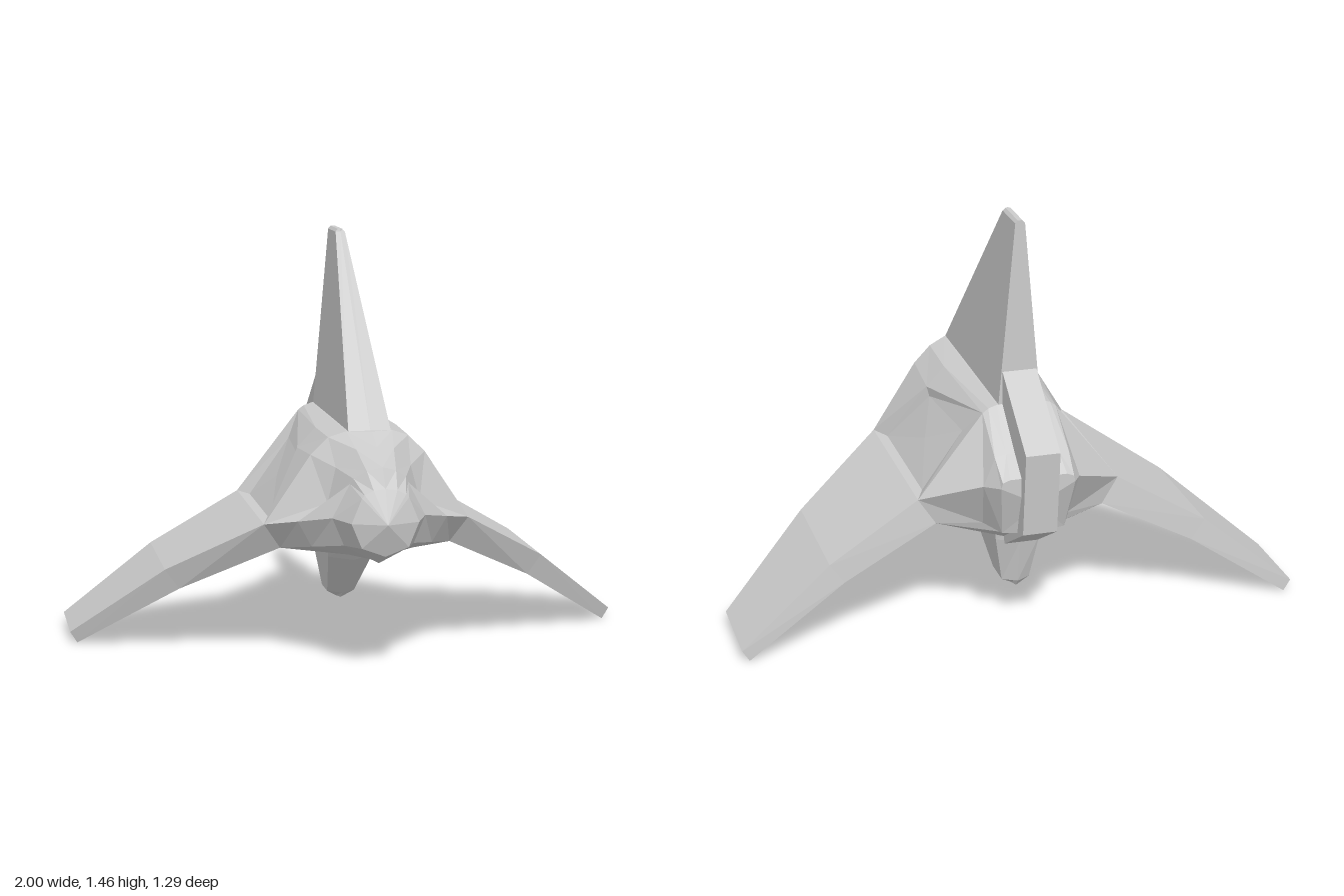
import * as THREE from 'three';

const material = new THREE.MeshStandardMaterial({ color: 0xcccccc, flatShading: true });

// Skin a list of [x, y, z] rows; closed rows wrap round, caps close the ends to their centres.
function loft(rows, { closed = false, capStart = false, capEnd = false } = {}) {
  const centre = row => {
    const c = [0, 1, 2].map(k => row.reduce((s, p) => s + p[k], 0) / row.length);
    return row.map(() => c);
  };
  const all = [...rows];
  if (capStart) all.unshift(centre(rows[0]));
  if (capEnd) all.push(centre(rows[rows.length - 1]));
  const out = [];
  const tri = (a, b, c) => {
    const [u, v, w] = [a, b, c].map(p => new THREE.Vector3(...p));
    if (new THREE.Triangle(u, v, w).getArea() > 1e-7) out.push(...a, ...b, ...c);
  };
  for (let i = 0; i < all.length - 1; i++) {
    const n = all[i].length;
    for (let j = 0; j < (closed ? n : n - 1); j++) {
      const k = (j + 1) % n;
      tri(all[i][j], all[i][k], all[i + 1][k]);
      tri(all[i][j], all[i + 1][k], all[i + 1][j]);
    }
  }
  const g = new THREE.BufferGeometry();
  g.setAttribute('position', new THREE.Float32BufferAttribute(out, 3));
  g.computeVertexNormals();
  return g;
}

// Mirror the triangles across x = 0, keeping the faces outward.
function mirror(geometry) {
  const p = geometry.attributes.position, out = [];
  for (let i = 0; i < p.count; i += 3)
    for (const k of [i, i + 2, i + 1]) out.push(-p.getX(k), p.getY(k), p.getZ(k));
  const g = new THREE.BufferGeometry();
  g.setAttribute('position', new THREE.Float32BufferAttribute(out, 3));
  g.computeVertexNormals();
  return g;
}

export function createModel() {
  const model = new THREE.Group();
  const add = (name, geometry) => {
    const mesh = new THREE.Mesh(geometry, material);
    mesh.name = name;
    model.add(mesh);
  };
  const addPair = (name, geometry) => {
    add('left' + name, geometry);
    add('right' + name, mirror(geometry));
  };

  // Corners of the hull side shared by several parts
  const frontCorner = [0.36, 0.49, 0.28], frontTop = [0.21, 0.72, 0.08];
  const rearTop = [0.13, 0.785, -0.37], rearCorner = [0.36, 0.49, -0.37];

  // Hull half-sections from the top centre round the side to the keel
  const nose = [
    Array(7).fill([0, 0.545, 0.645]),
    [[0, 0.66, 0.6], [0.04, 0.655, 0.6], [0.07, 0.64, 0.6], [0.08, 0.63, 0.6], [0.115, 0.545, 0.6], [0.08, 0.46, 0.6], [0, 0.43, 0.6]],
    [[0, 0.725, 0.55], [0.05, 0.71, 0.53], [0.09, 0.68, 0.5], [0.1, 0.66, 0.49], [0.16, 0.545, 0.49], [0.12, 0.45, 0.49], [0, 0.385, 0.49]],
    [[0, 0.775, 0.45], [0.065, 0.765, 0.42], [0.13, 0.7, 0.39], [0.16, 0.58, 0.4], [0.26, 0.517, 0.385], [0.21, 0.425, 0.37], [0, 0.368, 0.35]],
  ];
  const shoulder = [[0, 0.815, 0.36], [0.08, 0.812, 0.32], [0.14, 0.79, 0.3], [0.2, 0.73, 0.295], frontCorner, [0.3, 0.4, 0.25], [0, 0.35, 0.21]];
  const waist = [[0, 0.815, 0.08], [0.08, 0.812, 0.08], [0.145, 0.79, 0.08], frontTop, frontCorner, [0.3, 0.4, 0.25], [0, 0.31, 0]];
  const rear = [[0, 0.815, -0.37], [0.08, 0.81, -0.37], [0.11, 0.8, -0.37], rearTop, rearCorner, [0.3, 0.4, -0.38], [0, 0.305, -0.39]];

  // Stern half-sections, with a bevelled panel either side
  const sternEdge = [[0, 0.69, -0.52], [0.055, 0.69, -0.52], [0.09, 0.69, -0.52], [0.13, 0.68, -0.52], [0.17, 0.58, -0.52], [0.15, 0.41, -0.44], [0, 0.36, -0.48]];
  const stern = [[0, 0.63, -0.6], [0.055, 0.63, -0.6], [0.1, 0.63, -0.6], [0.125, 0.62, -0.6], [0.13, 0.6, -0.6], [0.11, 0.41, -0.54], [0, 0.41, -0.57]];
  const sternFace = stern.map(() => [0, 0.53, -0.6]);

  addPair('ForwardHull', loft([...nose, shoulder, waist]));
  addPair('UpperHull', loft([waist, rear].map(r => r.slice(0, 4))));
  addPair('LowerHull', loft([waist, rear].map(r => r.slice(4))));
  addPair('RearHull', loft([rear, sternEdge, stern, sternFace]));

  // Recessed panel above each wing root
  addPair('SidePanel', loft([
    [rearTop, frontTop, frontCorner, rearCorner],
    [[0.18, 0.695, -0.29], [0.205, 0.69, 0.06], [0.325, 0.49, 0.21], [0.325, 0.49, -0.29]],
  ], { closed: true, capEnd: true }));

  // Drooping wings: top rear, top front, bottom front, bottom rear at each station
  addPair('Wing', loft([
    [rearCorner, frontCorner, [0.3, 0.4, 0.25], [0.3, 0.4, -0.38]],
    [[0.68, 0.3, -0.4], [0.68, 0.3, 0.075], [0.63, 0.23, 0.075], [0.63, 0.23, -0.405]],
    [[1, 0.04, -0.445], [1, 0.04, -0.135], [0.975, 0, -0.135], [0.975, 0, -0.445]],
  ], { closed: true, capEnd: true }));

  // Tall tapered tail fin with a faintly ridged leading edge
  const finRing = (y, half, tip, front, back) =>
    [[0, y, tip], [half, y, front], [half, y, back], [-half, y, back], [-half, y, front]];
  add('tailFin', loft([
    finRing(0.8, 0.075, 0.352, 0.335, -0.37),
    finRing(1.45, 0.017, -0.215, -0.22, -0.37),
    finRing(1.46, 0.008, -0.218, -0.225, -0.37),
  ], { closed: true, capStart: true, capEnd: true }));

  // Spine running from the tail fin down around the stern
  const spineSide = [[-0.33, 0.5], [-0.4, 0.3], [-0.62, 0.43], [-0.65, 0.73], [-0.36, 0.935]];
  const spineRing = x => spineSide.map(([z, y]) => [x, y, z]);
  add('tailSpine', loft([spineRing(-0.06), spineRing(0.06)], { closed: true, capStart: true, capEnd: true }));

  // Short keel fin, diamond-like in section
  const keelRing = (y, half, back, mid, front) =>
    [[0, y, back], [half, y, back + 0.03], [half, y, mid], [0, y, front], [-half, y, mid], [-half, y, back + 0.03]];
  add('keelFin', loft([
    keelRing(0.37, 0.09, -0.4, 0.02, 0.1),
    keelRing(0.3, 0.08, -0.39, -0.03, 0.04),
    keelRing(0.13, 0.05, -0.36, -0.22, -0.18),
    keelRing(0.105, 0.012, -0.34, -0.25, -0.22),
  ], { closed: true, capEnd: true }));

  return model;
}
